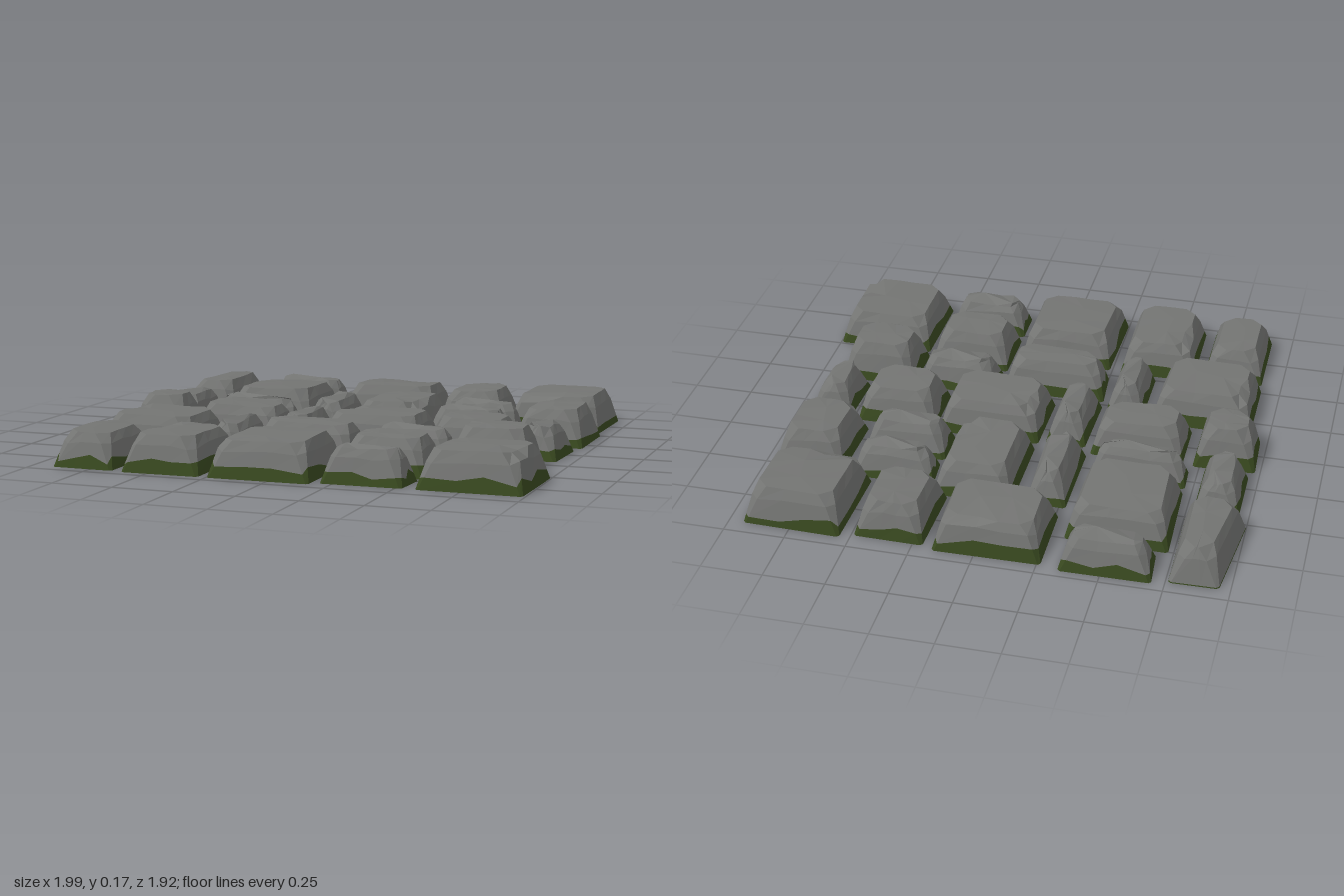
import * as THREE from 'three';

// Big paving slabs: x0, x1, z0, z1, height
const SLABS = [
  [-1, -0.75, -0.95, -0.5, 0.15], [-0.27, 0.18, -0.95, -0.6, 0.15],
  [0.2, 0.5, -0.93, -0.58, 0.15], [0.53, 0.95, -0.95, -0.53, 0.155],
  [-0.73, -0.31, -0.76, -0.33, 0.15], [-0.07, 0.27, -0.58, -0.14, 0.15],
  [0.66, 0.96, -0.51, -0.15, 0.155], [-0.98, -0.71, -0.14, 0.13, 0.17],
  [-0.69, -0.28, -0.15, 0.13, 0.145], [-0.07, 0.37, -0.12, 0.22, 0.15],
  [0.38, 0.73, -0.11, 0.19, 0.15], [-0.93, -0.49, 0.15, 0.53, 0.15],
  [-0.27, 0.18, 0.26, 0.51, 0.15], [0.57, 0.9, 0.21, 0.49, 0.17],
  [0.2, 0.56, 0.42, 0.72, 0.15], [-0.92, -0.64, 0.55, 0.96, 0.14],
  [-0.62, -0.28, 0.53, 0.96, 0.148], [-0.25, 0.17, 0.53, 0.96, 0.15],
  [0.57, 1, 0.5, 0.92, 0.15],
];
// Narrow cobbles with a crease across the top: x0, x1, z0, z1
const COBBLES = [
  [-0.7, -0.33, -0.97, -0.77], [-0.97, -0.77, -0.48, -0.15], [-0.72, -0.32, -0.32, -0.16],
  [-0.29, -0.1, -0.56, -0.15], [0.28, 0.63, -0.53, -0.35], [0.28, 0.63, -0.33, -0.14],
  [-0.27, -0.08, -0.11, 0.25], [0.75, 0.94, -0.11, 0.19], [-0.46, -0.28, 0.16, 0.52],
  [0.2, 0.56, 0.21, 0.4], [0.19, 0.54, 0.73, 0.92],
];
// Slabs with a strongly cut corner: slab index -> [corner, dx, dz]
const CUT = { 0: [3, 0.04, 0], 12: [0, 0.02, -0.03] };
// Slabs with a chipped side: slab index -> side (0 front, 1 right, 2 back, 3 left)
const CHIP = { 1: 2, 5: 1, 9: 3, 11: 3, 16: 3, 18: 1, 3: 0 };

let seed = 7;
const rnd = () => (seed = (seed * 16807) % 2147483647) / 2147483647;

const V = (x, y, z) => new THREE.Vector3(x, y, z);
// corner directions, anticlockwise from the front left as seen from above
const DIR = [[-1, 1], [1, 1], [1, -1], [-1, -1]];

// Sixteen-point outline: four inset corners, each chamfered by c
function ring(corners, inset, c, y) {
  const q = corners.map((p, i) => V(p.x - DIR[i][0] * inset, y, p.z - DIR[i][1] * inset));
  const pts = [];
  for (let i = 0; i < 4; i++) {
    const a = q[i], b = q[(i + 1) % 4];
    const d = b.clone().sub(a).normalize().multiplyScalar(c);
    const s = a.clone().add(d), e = b.clone().sub(d);
    for (const t of [0, 0.36, 0.66, 1]) pts.push(s.clone().lerp(e, t));
  }
  return pts;
}

// Unshared triangles give crisp flat facets
function facets(tris) {
  const g = new THREE.BufferGeometry().setFromPoints(tris);
  g.computeVertexNormals();
  return g;
}

function band(out, lo, hi) {
  lo.forEach((a, i) => {
    const j = (i + 1) % lo.length;
    out.push(a, lo[j], hi[j], a, hi[j], hi[i]);
  });
}

// Closes the top with facets that meet along the crease A-B
function cap(out, top, A, B) {
  const near = p => (p.distanceTo(A) < p.distanceTo(B) ? A : B);
  top.forEach((p, i) => {
    const n = top[(i + 1) % top.length], a = near(p), b = near(n);
    out.push(a, p, n);
    if (a !== b) out.push(a, n, b);
  });
}

function makeStone([x0, x1, z0, z1, h], { cobble, chip = -1, cut, mossy = true }, mats) {
  const corners = [V(x0, 0, z1), V(x1, 0, z1), V(x1, 0, z0), V(x0, 0, z0)];
  corners.forEach((p, i) => {
    p.x -= DIR[i][0] * rnd() * 0.014;
    p.z -= DIR[i][1] * rnd() * 0.014;
  });
  if (cut) corners[cut[0]].add(V(cut[1], 0, cut[2]));

  const shoulderY = h * 0.72;
  const base = ring(corners, 0, 0.01, 0);
  const shoulder = ring(corners, 0.026, 0.03, shoulderY);
  const top = ring(corners, cobble ? 0.045 : 0.046, cobble ? 0.03 : 0.045, h);

  // gentle tilt and uneven edges
  const cx = (x0 + x1) / 2, cz = (z0 + z1) / 2, w = x1 - x0, d = z1 - z0;
  const tx = (rnd() - 0.5) * 0.02, tz = (rnd() - 0.5) * 0.02;
  const tilt = p => (p.x - cx) / w * tx + (p.z - cz) / d * tz;
  top.forEach(p => { p.y += tilt(p) - (cobble ? 0.012 : 0.004) * rnd(); });
  shoulder.forEach((p, i) => { p.y += i % 4 === 1 || i % 4 === 2 ? (rnd() - 0.5) * 0.008 : (rnd() - 0.7) * 0.014; });
  if (chip >= 0) {
    const [nx, nz] = [[0, 1], [1, 0], [0, -1], [-1, 0]][chip];
    for (const k of [0, 1]) {
      top[chip * 4 + k].add(V(-nx * 0.022, -0.006, -nz * 0.022));
      shoulder[chip * 4 + k].y += 0.012;
    }
  }

  // wavy moss line on the sloping sides
  const moss = base.map((p, i) => p.clone().lerp(shoulder[i], mossy ? 0.22 + rnd() * 0.34 : 0.04));

  // crease across the top, turned to follow the long side
  const long = w > d;
  const at = (u, v) => {
    const p = long ? V(cx + u * w, h, cz + v * d) : V(cx + v * w, h, cz - u * d);
    p.y += tilt(p) + (cobble ? 0.007 : 0.002);
    return p;
  };
  const A = cobble ? at(-0.28, -0.16) : at(-0.14, 0.1 - rnd() * 0.2);
  const B = cobble ? at(0.14, 0.14) : at(0.14, 0.1 - rnd() * 0.2);

  const rock = [], green = [];
  band(rock, moss, shoulder);
  band(rock, shoulder, top);
  cap(rock, top, A, B);
  band(green, base, moss);
  base.forEach((p, i) => green.push(V(cx, 0, cz), base[(i + 1) % base.length], p));

  const stone = new THREE.Group();
  stone.name = cobble ? 'cobble' : 'slab';
  const body = new THREE.Mesh(facets(rock), mats.stone);
  body.name = 'stoneBody';
  const skirt = new THREE.Mesh(facets(green), mats.moss);
  skirt.name = 'mossSkirt';
  stone.add(body, skirt);
  return stone;
}

export function createModel() {
  seed = 7;
  const mats = {
    stone: new THREE.MeshStandardMaterial({ color: 0x737472 }),
    moss: new THREE.MeshStandardMaterial({ color: 0x38481f }),
  };
  mats.stone.name = 'grey stone';
  mats.moss.name = 'dark moss';

  const paving = new THREE.Group();
  paving.name = 'stonePaving';
  SLABS.forEach((s, i) => paving.add(makeStone(s, { chip: CHIP[i], cut: CUT[i], mossy: i !== 0 }, mats)));
  COBBLES.forEach(c => paving.add(makeStone([...c, 0.138], { cobble: true }, mats)));
  return paving;
}
